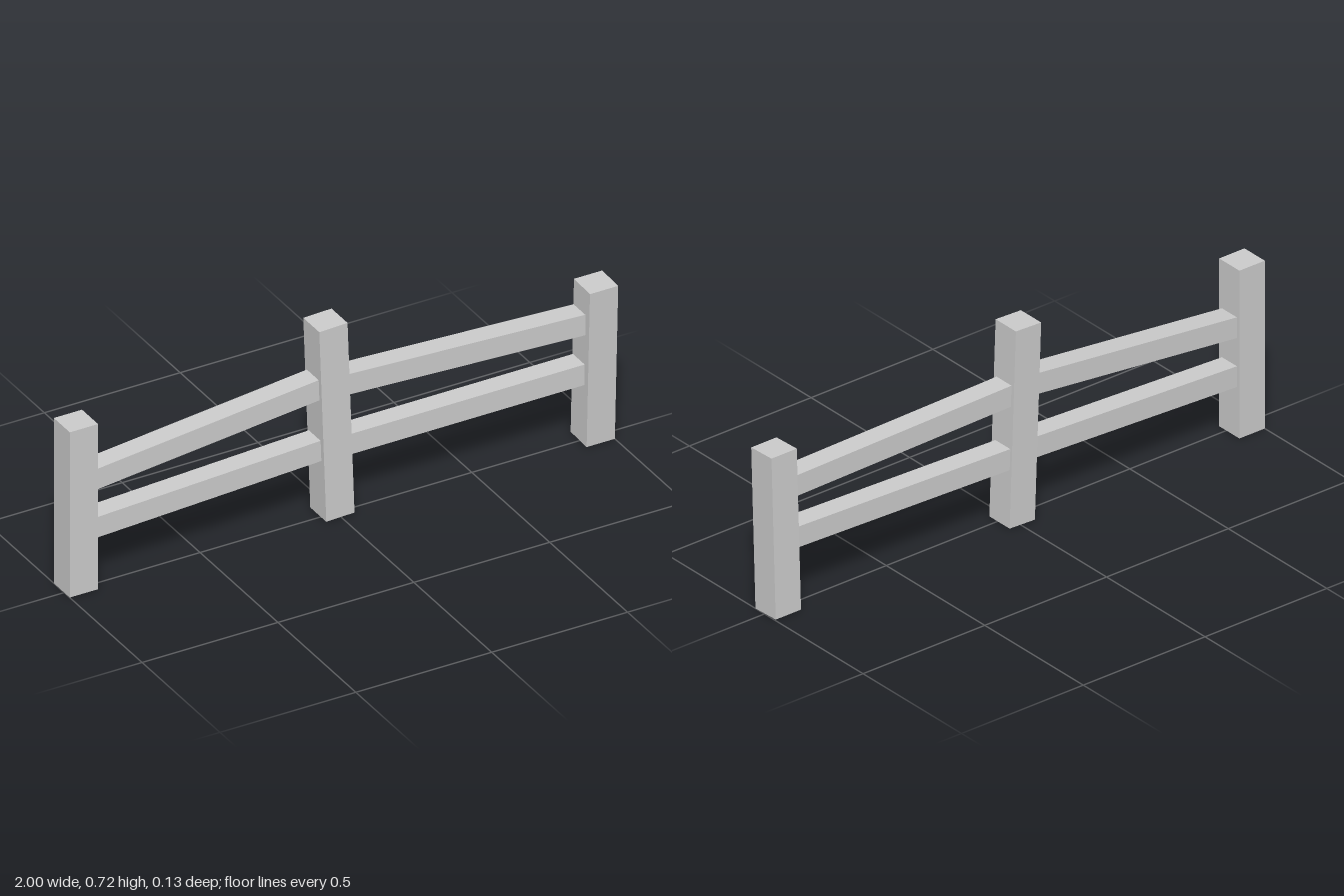
import * as THREE from 'three';

const material = new THREE.MeshStandardMaterial({
  color: 0xcccccc, flatShading: true, side: THREE.DoubleSide,
});

// Box without the listed faces (0 +x, 1 -x, 2 +y, 3 -y, 4 +z, 5 -z)
function openBox(w, h, d, removed) {
  const geometry = new THREE.BoxGeometry(w, h, d);
  const index = Array.from(geometry.index.array);
  geometry.setIndex(index.filter((_, i) => !removed.includes(Math.floor(i / 6))));
  geometry.clearGroups();
  return geometry;
}

// Square post, open underneath, leaning by small angles about x and z
function post(name, height, center, leanX = 0, leanZ = 0) {
  const mesh = new THREE.Mesh(openBox(0.104, height, 0.103, [3]), material);
  mesh.name = name;
  mesh.position.set(...center);
  mesh.rotation.set(leanX, 0, leanZ);
  return mesh;
}

// Rail sheared between two centre points, with open ends buried in the posts
function rail(name, start, end) {
  const geometry = openBox(1, 0.076, 0.076, [0, 1]);
  const a = new THREE.Vector3(...start), b = new THREE.Vector3(...end);
  const p = geometry.attributes.position, c = new THREE.Vector3();
  for (let i = 0; i < p.count; i++) {
    c.lerpVectors(a, b, p.getX(i) + 0.5);
    p.setXYZ(i, c.x, c.y + p.getY(i), c.z + p.getZ(i));
  }
  geometry.computeVertexNormals();
  const mesh = new THREE.Mesh(geometry, material);
  mesh.name = name;
  return mesh;
}

export function createModel() {
  const fence = new THREE.Group();
  fence.name = 'fence';
  fence.add(
    // Posts
    post('rightPost', 0.615, [-0.948, 0.3075, -0.0155]),
    post('middlePost', 0.714, [-0.017, 0.359, -0.0155], 0, 0.036),
    post('leftPost', 0.581, [0.948, 0.292, 0.0055], 0.037, 0),
    // Rails
    rail('rightUpperRail', [-0.9, 0.4, -0.016], [-0.065, 0.488, -0.018]),
    rail('rightLowerRail', [-0.9, 0.221, -0.016], [-0.06, 0.258, -0.02]),
    rail('leftUpperRail', [0.025, 0.478, -0.016], [0.9, 0.45, 0]),
    rail('leftLowerRail', [0.032, 0.25, -0.02], [0.9, 0.263, -0.004]),
  );
  return fence;
}
